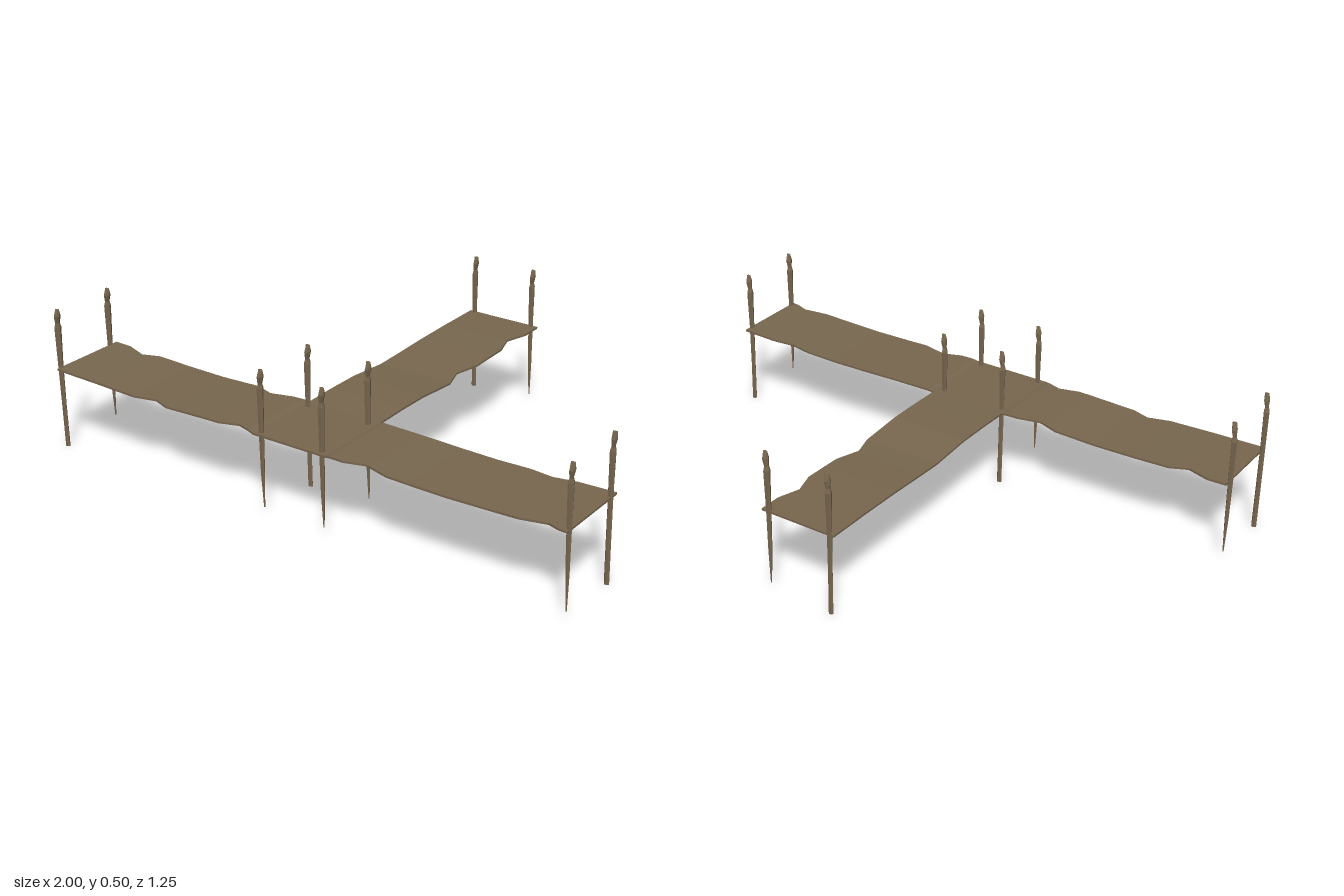
import * as THREE from 'three';

// Linear interpolation through [position, value] keys
function sample(keys, s) {
  if (s <= keys[0][0]) return keys[0][1];
  for (let i = 1; i < keys.length; i++) {
    const [s0, v0] = keys[i - 1], [s1, v1] = keys[i];
    if (s <= s1) return v0 + (v1 - v0) * (s - s0) / (s1 - s0);
  }
  return keys[keys.length - 1][1];
}

// Join rings of points into a closed, flat-shaded skin
function loft(rings, flip) {
  const n = rings[0].length, index = [];
  const tri = (a, b, c) => index.push(...(flip ? [a, c, b] : [a, b, c]));
  for (let i = 0; i < rings.length - 1; i++) {
    for (let j = 0; j < n; j++) {
      const a = i * n + j, b = i * n + (j + 1) % n;
      tri(a, a + n, b);
      tri(b, a + n, b + n);
    }
  }
  const last = (rings.length - 1) * n;
  for (let j = 1; j < n - 1; j++) {
    tri(0, j, j + 1);
    tri(last, last + j + 1, last + j);
  }
  const geo = new THREE.BufferGeometry();
  geo.setAttribute('position', new THREE.Float32BufferAttribute(rings.flat(2), 3));
  geo.setIndex(index);
  const flat = geo.toNonIndexed();
  flat.computeVertexNormals();
  return flat;
}

// Thin sagging walkway with chipped edges, running along x or z
function walkway(low, high, height, alongX) {
  const stations = [...new Set([...low, ...high, ...height].map(k => k[0]))].sort((a, b) => a - b);
  const t = 0.0035;
  const rings = stations.map(s => {
    const a = sample(low, s), b = sample(high, s), y = sample(height, s);
    return [[a, y - t], [a, y + t], [b, y + t], [b, y - t]]
      .map(([w, h]) => alongX ? [s, h, w] : [w, h, s]);
  });
  return loft(rings, alongX);
}

// Rough stake with a swelling shaft, a notched neck and a carved tip
function post(spiked) {
  // height, half width in x, half width in z, offset x, offset z
  const profile = [
    [spiked ? 0.025 : 0, spiked ? 0.002 : 0.009, spiked ? 0.002 : 0.007, 0, -0.002],
    [0.15, spiked ? 0.007 : 0.009, 0.007, 0, 0],
    [0.30, 0.009, 0.009, 0, 0.001],
    [0.44, 0.010, 0.013, 0, 0],
    [0.455, 0.006, 0.009, 0.001, 0.001],
    [0.48, 0.010, 0.013, 0.004, 0.002],
    [0.505, 0.008, 0.005, 0.006, 0.003],
  ];
  const sides = 6;
  const rings = profile.map(([y, rx, rz, ox, oz]) =>
    Array.from({ length: sides }, (_, j) => {
      const a = j / sides * Math.PI * 2;
      return [ox + Math.cos(a) * rx, y, oz + Math.sin(a) * rz];
    }));
  return loft(rings, false);
}

export function createModel() {
  const group = new THREE.Group();
  const wood = new THREE.MeshStandardMaterial({ color: 0x78674f });
  wood.name = 'weathered wood';

  const add = (name, geo, x = 0, z = 0) => {
    const mesh = new THREE.Mesh(geo, wood);
    mesh.name = name;
    mesh.position.set(x, 0, z);
    group.add(mesh);
  };

  // Long cross walkway
  add('crossWalkway', walkway(
    [[-0.985, 0.338], [-0.92, 0.338], [-0.84, 0.365], [-0.78, 0.34], [-0.35, 0.338], [-0.28, 0.362],
      [-0.2, 0.342], [-0.14, 0.338], [0.7, 0.338], [0.78, 0.35], [0.86, 0.338], [0.99, 0.338]],
    [[-0.985, 0.625], [-0.64, 0.625], [-0.56, 0.604], [-0.5, 0.625], [-0.28, 0.625], [-0.21, 0.604],
      [-0.14, 0.625], [0.21, 0.625], [0.28, 0.602], [0.37, 0.625], [0.83, 0.625], [0.92, 0.608],
      [0.96, 0.622], [0.99, 0.625]],
    [[-0.985, 0.292], [-0.8, 0.288], [-0.65, 0.283], [-0.5, 0.281], [-0.32, 0.287], [-0.16, 0.289],
      [-0.138, 0.286], [0.143, 0.286], [0.16, 0.289], [0.3, 0.287], [0.45, 0.283], [0.58, 0.281],
      [0.75, 0.285], [0.99, 0.292]], true));

  // Pier reaching back from the middle, meeting the cross walkway flush
  add('backWalkway', walkway(
    [[-0.62, -0.138], [0.338, -0.138]],
    [[-0.62, 0.143], [-0.54, 0.143], [-0.46, 0.118], [-0.38, 0.143], [-0.23, 0.143], [-0.14, 0.118],
      [-0.06, 0.143], [0.338, 0.143]],
    [[-0.62, 0.29], [-0.45, 0.289], [-0.3, 0.286], [-0.15, 0.28], [-0.06, 0.277], [0.02, 0.283],
      [0.1, 0.289], [0.22, 0.289], [0.338, 0.286]], false));

  // Stakes at the ends and around the junction: blunt or spiked at the foot
  const blunt = post(false), spiked = post(true);
  const stakes = [
    [-0.987, 0.605, blunt], [-0.987, 0.367, spiked],
    [0.985, 0.605, spiked], [0.985, 0.367, blunt],
    [-0.12, 0.605, spiked], [-0.12, 0.367, blunt],
    [0.117, 0.605, spiked], [0.117, 0.367, spiked],
    [-0.12, -0.618, blunt], [0.117, -0.618, spiked],
  ];
  for (const [x, z, geo] of stakes) add('post', geo, x, z);
  return group;
}
